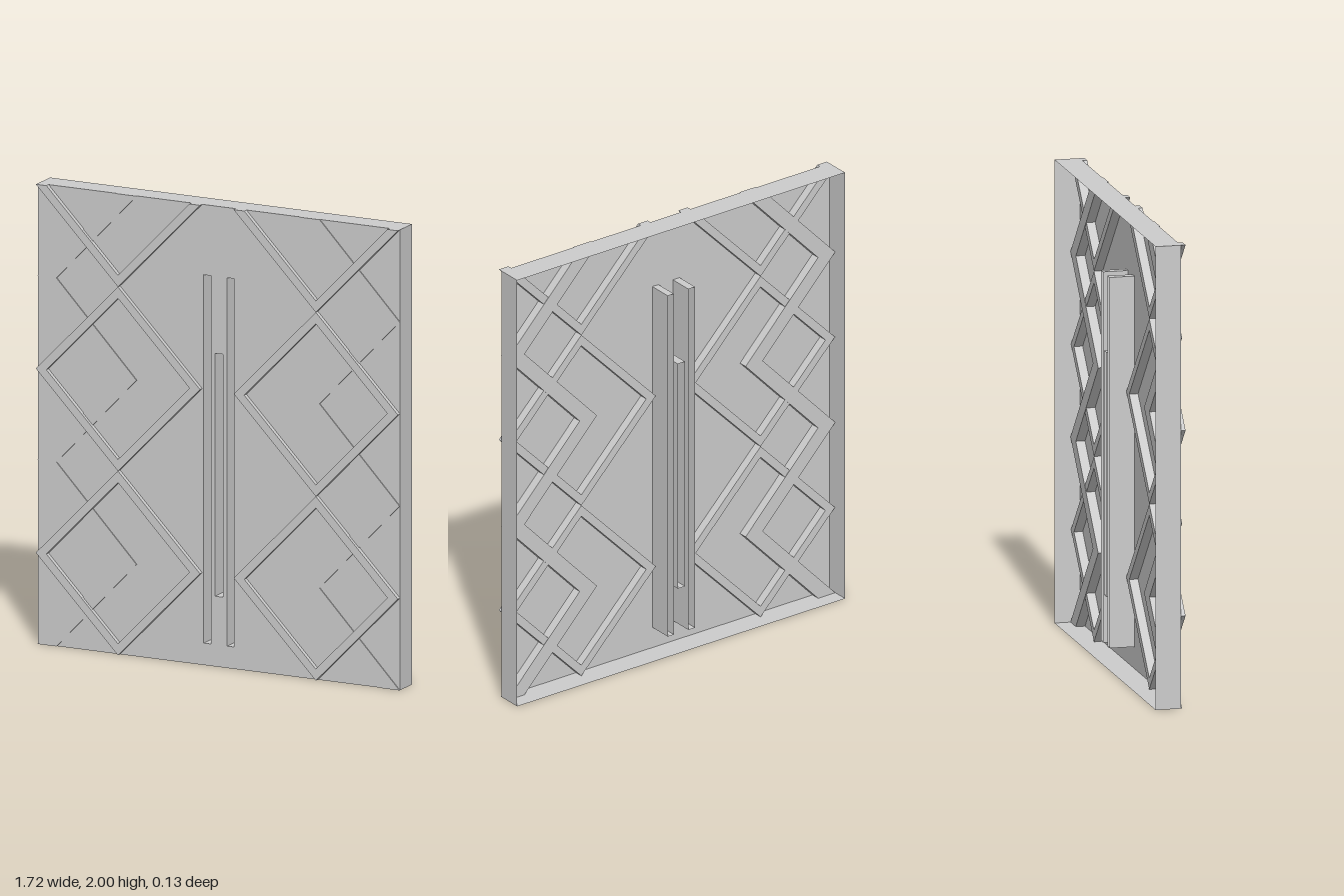
import * as THREE from 'three';
import { mergeGeometries } from 'three/addons/utils/BufferGeometryUtils.js';

const W = 0.86, H = 2, BACK = -0.065, FACE = 0.045;
const material = new THREE.MeshStandardMaterial({ color: 0xcccccc, side: THREE.DoubleSide });

const points = (list, side = 1) => list.map(([x, y]) => new THREE.Vector2(x * side, y));
const rectangle = ([x0, y0, x1, y1]) => points([[x0, y0], [x1, y0], [x1, y1], [x0, y1]]);

function add(group, name, geometry) {
  const mesh = new THREE.Mesh(geometry, material);
  mesh.name = name;
  group.add(mesh);
}

// Four thin walls round a rectangle, open at front and back
function sleeve([x0, y0, x1, y1]) {
  const depth = FACE - BACK, z = (FACE + BACK) / 2;
  const cx = (x0 + x1) / 2, cy = (y0 + y1) / 2;
  const walls = [];
  for (const [x, turn] of [[x0, -1], [x1, 1]]) {
    walls.push(new THREE.PlaneGeometry(depth, y1 - y0).rotateY(turn * Math.PI / 2).translate(x, cy, z));
  }
  for (const [y, turn] of [[y0, 1], [y1, -1]]) {
    walls.push(new THREE.PlaneGeometry(x1 - x0, depth).rotateX(turn * Math.PI / 2).translate(cx, y, z));
  }
  return mergeGeometries(walls);
}

// Flat shape given thickness between two depths
function slab(shape, z0, z1) {
  return new THREE.ExtrudeGeometry(shape, { depth: z1 - z0, bevelEnabled: false }).translate(0, 0, z0);
}

export function createModel() {
  const model = new THREE.Group();
  model.name = 'doorPanel';

  // Front sheet with three through slots
  const slots = [[-0.073, 0.095, -0.038, 1.695], [-0.02, 0.305, 0.018, 1.36], [0.038, 0.095, 0.07, 1.695]];
  const outline = [-W, 0, W, H];
  const sheet = new THREE.Shape(rectangle(outline));
  slots.forEach(s => sheet.holes.push(new THREE.Path(rectangle(s))));
  add(model, 'frontSheet', new THREE.ShapeGeometry(sheet).translate(0, 0, FACE));

  // Edge walls and slot sleeves running to the back
  add(model, 'edgeWalls', sleeve(outline));
  slots.forEach(s => add(model, 'slotSleeve', sleeve(s)));

  for (const side of [1, -1]) {
    const lattice = new THREE.Group();
    lattice.name = side > 0 ? 'leftLattice' : 'rightLattice';
    model.add(lattice);

    // Large diamond frames, touching at their tips
    const cx = 0.47, rx = 0.39, ry = 0.4, t = 0.05;
    const diamond = (cy, inset) => points([
      [cx - rx + inset, cy], [cx, cy + ry - inset], [cx + rx - inset, cy], [cx, cy - ry + inset]], side);
    for (const cy of [0.4, 1.2]) {
      const frame = new THREE.Shape(diamond(cy, 0));
      frame.holes.push(new THREE.Path(diamond(cy, t)));
      add(lattice, 'diamondFrame', slab(frame, 0.007, 0.065));
    }

    // Lower half of a diamond at the top edge
    const vee = new THREE.Shape(points([
      [cx - rx, H], [cx, H - ry], [cx + rx, H], [cx + rx - t, H], [cx, H - ry + t], [cx - rx + t, H]], side));
    add(lattice, 'topHalfDiamond', slab(vee, 0.007, 0.065));

    // Zigzag band lying lower, behind the diamonds
    const inner = [], outer = [];
    for (let i = 0; i <= 5; i++) {
      const x = i % 2 ? 0.39 : 0.77;
      inner.push([x, i * 0.4]);
      outer.unshift([x + 0.09, i * 0.4]);
    }
    add(lattice, 'zigzagBand', slab(new THREE.Shape(points([...inner, ...outer], side)), 0.005, 0.05));
  }
  return model;
}
